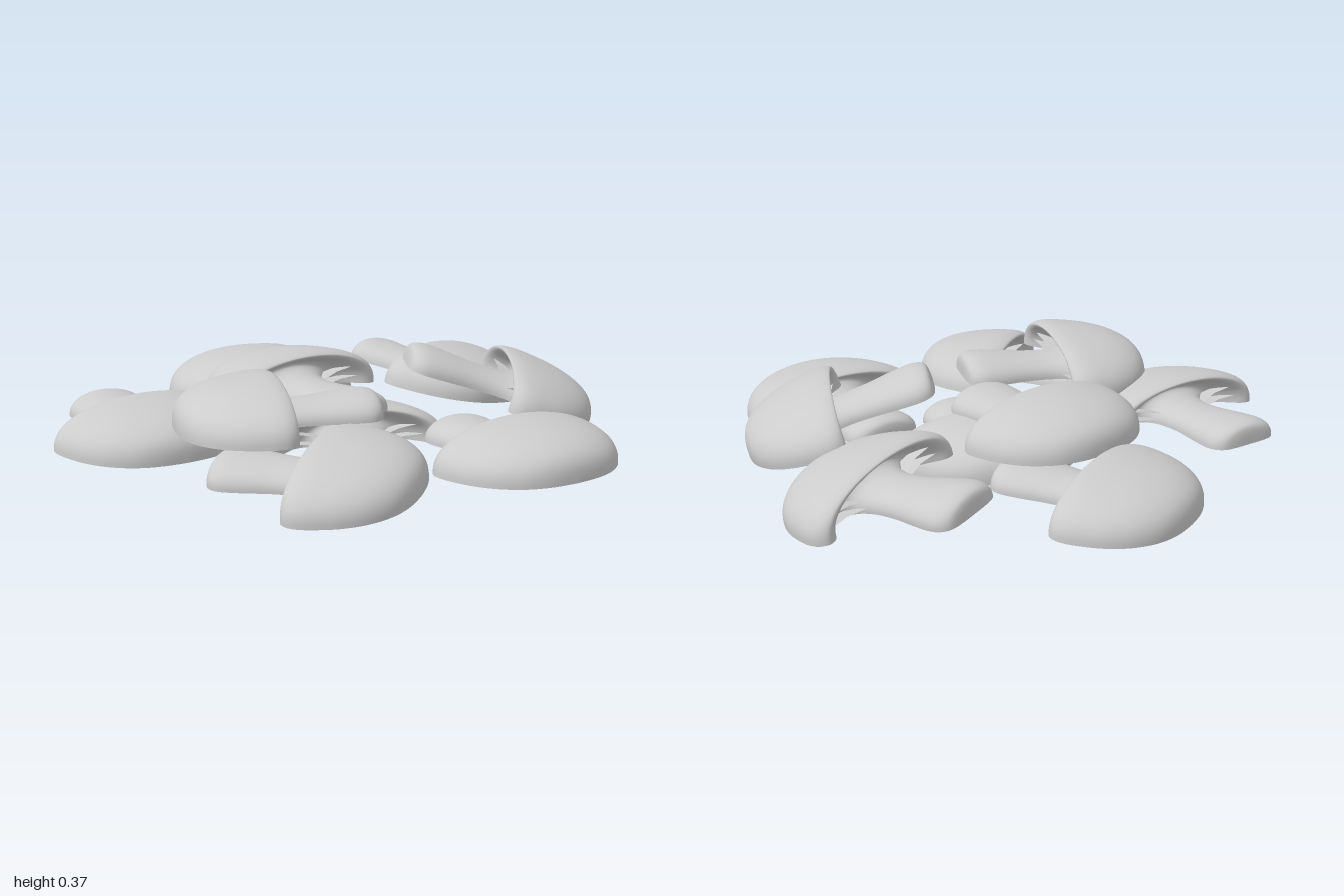
import * as THREE from 'three';

const RADIUS = 0.356; // widest cap radius
const DEPTH = 0.16; // thickness of a slice at that radius

// Half outline (radius, height along the axis): stem foot, neck, shallow gill pocket, rolled rim, dome
const outline = new THREE.SplineCurve([
  [0, -0.359], [0.07, -0.358], [0.12, -0.345], [0.144, -0.3], [0.137, -0.22],
  [0.119, -0.12], [0.114, -0.03], [0.13, 0.04], [0.17, 0.073], [0.215, 0.067],
  [0.255, 0.033], [0.29, -0.003], [0.325, -0.01], [0.349, 0.015], [0.356, 0.05], [0.349, 0.1],
  [0.319, 0.185], [0.265, 0.263], [0.187, 0.322], [0.095, 0.352], [0, 0.36],
].map(([r, h]) => new THREE.Vector2(r, h))).getPoints(80)
  .map((p) => new THREE.Vector2(Math.max(0, p.x), p.y));

// Flattens a revolved shape into a blunt slice with steep sides
function flatten(geometry) {
  const pos = geometry.attributes.position;
  for (let i = 0; i < pos.count; i++) {
    const r = Math.hypot(pos.getX(i), pos.getZ(i));
    const facing = r > 1e-6 ? Math.max(0, pos.getZ(i) / r) : 0;
    pos.setZ(i, DEPTH * (r / RADIUS) ** 0.72 * facing ** 0.82);
  }
  geometry.computeVertexNormals();
  return geometry;
}

// Rounded skin: half a turn of the outline
function skinGeometry() {
  return flatten(new THREE.LatheGeometry(outline, 48, -Math.PI / 2, Math.PI));
}

// Flat cut face closing the slice underneath
function cutGeometry() {
  const mirrored = outline.slice(1, -1).reverse().map((p) => new THREE.Vector2(-p.x, p.y));
  return new THREE.ShapeGeometry(new THREE.Shape([...outline, ...mirrored])).rotateY(Math.PI);
}

// One thin gill blade inside the pocket under the cap
function gillGeometry(angle) {
  const blade = new THREE.Shape([[0.12, 0.01], [0.2, 0.025], [0.27, 0.012],
    [0.255, 0.035], [0.215, 0.069], [0.17, 0.075], [0.13, 0.042]]
    .map(([r, h]) => new THREE.Vector2(r, h)));
  return flatten(new THREE.ShapeGeometry(blade).rotateY(-angle));
}

// Rim centre, axis direction on the ground (stem to cap), rise along the axis, sideways rise
const slices = [
  { at: [0.152, 0.068, -0.64], dir: [-0.18, -0.98], rise: -0.03, roll: 0 },
  { at: [-0.063, 0.155, -0.212], dir: [0.17, -0.98], rise: 0.02, roll: 0 },
  { at: [-0.638, 0.08, -0.475], dir: [-0.26, 0.97], rise: -0.05, roll: 0 },
  { at: [0.643, 0.1, -0.15], dir: [0.04, 1], rise: -0.12, roll: 0.15 },
  { at: [-0.485, 0.197, 0.058], dir: [-0.825, -0.565], rise: -0.03, roll: 0 },
  { at: [-0.618, 0.065, 0.37], dir: [0.39, 0.92], rise: 0, roll: -0.1 },
  { at: [0.093, 0.048, 0.635], dir: [-0.26, 0.96], rise: 0, roll: 0 },
  { at: [0.378, 0.186, 0.35], dir: [0.73, 0.68], rise: -0.34, roll: 0 },
  { at: [-0.075, 0, 0.06], dir: [0.52, -0.85], rise: 0, roll: 0 },
];

export function createModel() {
  const model = new THREE.Group();
  model.name = 'mushroomSlices';
  const solid = new THREE.MeshStandardMaterial({ color: 0xcccccc });
  const thin = new THREE.MeshStandardMaterial({ color: 0xcccccc, side: THREE.DoubleSide });
  const skin = skinGeometry();
  const cut = cutGeometry();
  const gills = [0.06, 0.16, 0.84, 0.94].map((turn) => gillGeometry(turn * Math.PI));

  for (const { at, dir, rise, roll } of slices) {
    const slice = new THREE.Group();
    slice.name = 'mushroomSlice';
    const add = (name, geometry, material) => {
      const mesh = new THREE.Mesh(geometry, material);
      mesh.name = name;
      slice.add(mesh);
    };
    add('capAndStem', skin, solid);
    add('cutFace', cut, solid);
    gills.forEach((g) => add('gill', g, thin));

    // Local y runs along the axis, local z points away from the cut face
    const axis = new THREE.Vector3(dir[0], rise, dir[1]).normalize();
    const side = new THREE.Vector3(-dir[1], roll, dir[0]);
    const up = side.clone().cross(axis).normalize();
    side.crossVectors(axis, up);
    slice.quaternion.setFromRotationMatrix(new THREE.Matrix4().makeBasis(side, axis, up));
    slice.position.set(...at);
    model.add(slice);
  }
  return model;
}
